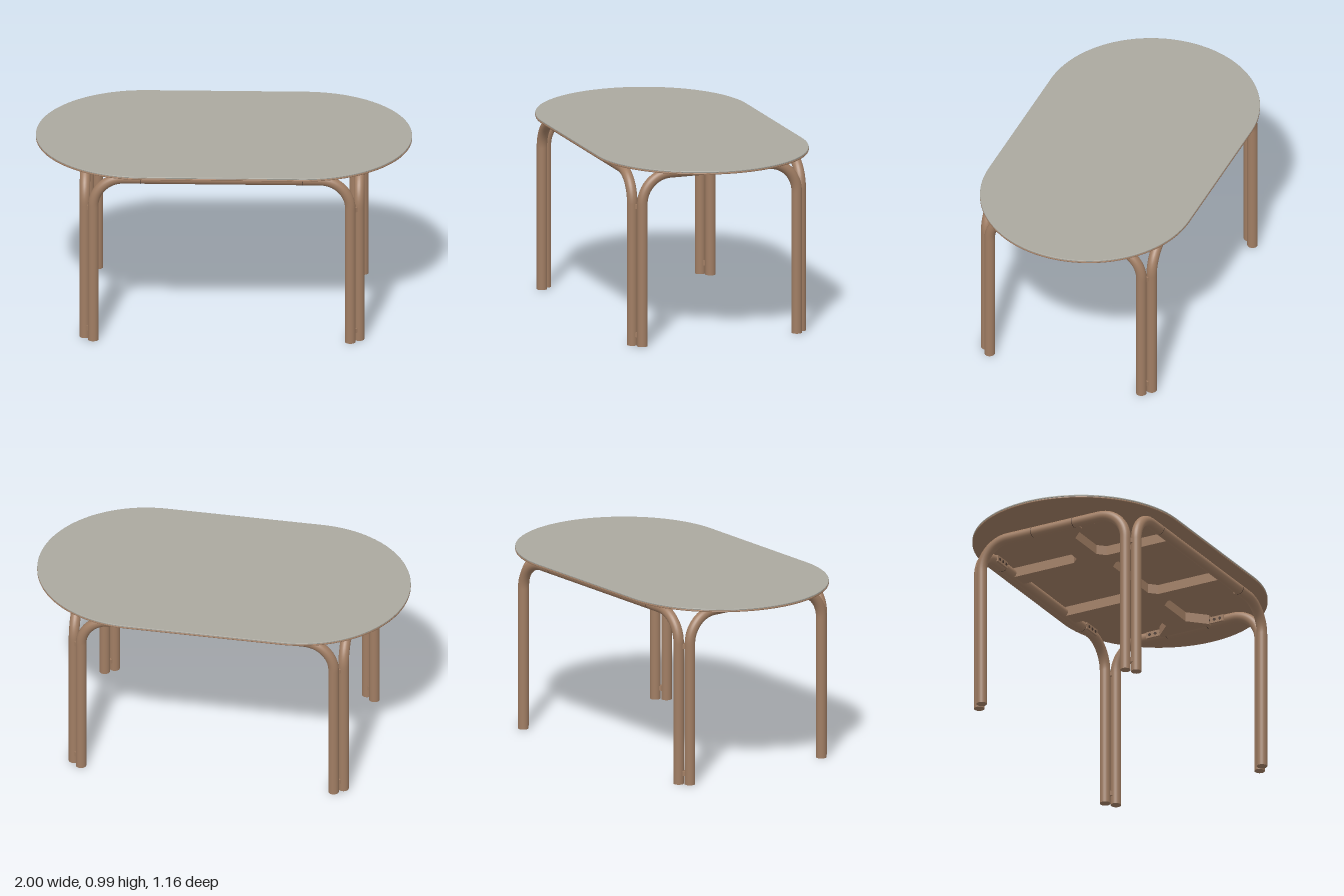
import * as THREE from 'three';

const wood = new THREE.MeshStandardMaterial({ color: 0xa07d63 });
wood.name = 'brown wood';
const grey = new THREE.MeshStandardMaterial({ color: 0xaaa89f });
grey.name = 'warm grey top';
const dark = new THREE.MeshStandardMaterial({ color: 0x4a392f });
dark.name = 'dark bolt';

const TUBE = 0.028;   // tube radius
const RAIL = 0.935;   // height of the arch centre line
const BEND = 0.16;    // bend radius
const ZC = 0.004;     // the base sits slightly forward

function add(parent, name, geometry, material, x = 0, y = 0, z = 0) {
  const mesh = new THREE.Mesh(geometry, material);
  mesh.name = name;
  mesh.position.set(x, y, z);
  parent.add(mesh);
  return mesh;
}

// Horizontal slab with its upper face at y = 0
function slab(shape, thickness, bevel) {
  const g = new THREE.ExtrudeGeometry(shape, {
    depth: thickness - 2 * bevel, bevelEnabled: bevel > 0, bevelSize: bevel,
    bevelThickness: bevel, bevelOffset: -bevel, bevelSegments: 2, curveSegments: 40,
  });
  g.translate(0, 0, bevel);
  return g.rotateX(Math.PI / 2);
}

// Oblong outline with half-round ends
function oblong(halfLength, radius) {
  const s = new THREE.Shape();
  const c = halfLength - radius;
  s.moveTo(-c, -radius);
  s.lineTo(c, -radius);
  s.absarc(c, 0, radius, -Math.PI / 2, Math.PI / 2, false);
  s.lineTo(-c, radius);
  s.absarc(-c, 0, radius, Math.PI / 2, Math.PI * 1.5, false);
  return s;
}

// Bent tube: leg, rail, leg, standing in the xy plane
function arch(name, half, jointAt) {
  const group = new THREE.Group();
  group.name = name;
  const v = (x, y) => new THREE.Vector3(x, y, 0);
  const k = BEND * 0.4477;
  const low = RAIL - BEND, inner = half - BEND;
  const path = new THREE.CurvePath();
  path.add(new THREE.LineCurve3(v(-half, 0), v(-half, low)));
  path.add(new THREE.CubicBezierCurve3(v(-half, low), v(-half, RAIL - k), v(-half + k, RAIL), v(-inner, RAIL)));
  path.add(new THREE.LineCurve3(v(-inner, RAIL), v(inner, RAIL)));
  path.add(new THREE.CubicBezierCurve3(v(inner, RAIL), v(half - k, RAIL), v(half, RAIL - k), v(half, low)));
  path.add(new THREE.LineCurve3(v(half, low), v(half, 0)));
  add(group, 'bentTube', new THREE.TubeGeometry(path, 140, TUBE, 24, false), wood);
  for (const s of [-1, 1]) {
    const foot = add(group, 'footEnd', new THREE.CircleGeometry(TUBE, 24), wood, s * half, 0, 0);
    foot.rotation.x = Math.PI / 2;
    // seam where the bend meets the straight rail
    const seam = add(group, 'railSeam', new THREE.CylinderGeometry(TUBE + 0.0004, TUBE + 0.0004, 0.003, 24, 1, true), dark, s * jointAt, RAIL, 0);
    seam.rotation.z = Math.PI / 2;
    // joint block with three bolts on the inner side
    const mid = s * (jointAt + 0.055);
    add(group, 'jointBlock', new THREE.BoxGeometry(0.11, 0.036, 0.014), wood, mid, RAIL, -0.026);
    for (const i of [-1, 0, 1]) {
      const bolt = add(group, 'bolt', new THREE.CylinderGeometry(0.008, 0.008, 0.004, 12), dark, mid + i * 0.034, RAIL, -0.034);
      bolt.rotation.x = Math.PI / 2;
    }
  }
  return group;
}

// Flat under frame: one long beam, two cross beams, chamfered corners
function underFrame() {
  const quarter = [
    [0.72, 0.15], [0.69, 0.15], [0.60, 0.06], [0.37, 0.06], [0.33, 0.10],
    [0.33, 0.465], [0.23, 0.465], [0.23, 0.10], [0.19, 0.06],
  ];
  const flip = (sx, sz) => quarter.map(([x, z]) => new THREE.Vector2(sx * x, sz * z));
  const outline = [
    ...flip(1, 1), ...flip(-1, 1).reverse(), ...flip(-1, -1), ...flip(1, -1).reverse(),
  ];
  return slab(new THREE.Shape(outline), 0.053, 0);
}

export function createModel() {
  const table = new THREE.Group();
  table.name = 'table';

  // Layered top
  add(table, 'topSurface', slab(oblong(1, 0.579), 0.009, 0.003), grey, 0, 0.985, 0);
  add(table, 'topUnderside', slab(oblong(1, 0.579), 0.009, 0.003), wood, 0, 0.976, 0);

  const base = new THREE.Group();
  base.name = 'base';
  base.position.z = ZC;
  table.add(base);
  add(base, 'underFrame', underFrame(), wood, 0, 0.965, 0);

  // Four arches, one along each side
  for (const s of [1, -1]) {
    const long = arch(s > 0 ? 'frontArch' : 'backArch', 0.683, 0.43);
    long.position.z = s * 0.478;
    long.rotation.y = s > 0 ? 0 : Math.PI;
    base.add(long);
    const short = arch(s > 0 ? 'leftArch' : 'rightArch', 0.438, 0.125);
    short.position.x = s * 0.729;
    short.rotation.y = s * Math.PI / 2;
    base.add(short);
  }

  // Small spacers joining each pair of legs
  for (const sx of [1, -1]) for (const sz of [1, -1]) for (const y of [0.06, 0.76]) {
    const spacer = add(base, 'legSpacer', new THREE.BoxGeometry(0.05, 0.025, 0.03), wood, sx * 0.706, y, sz * 0.458);
    spacer.rotation.y = sx * sz * 0.71;
  }
  return table;
}
